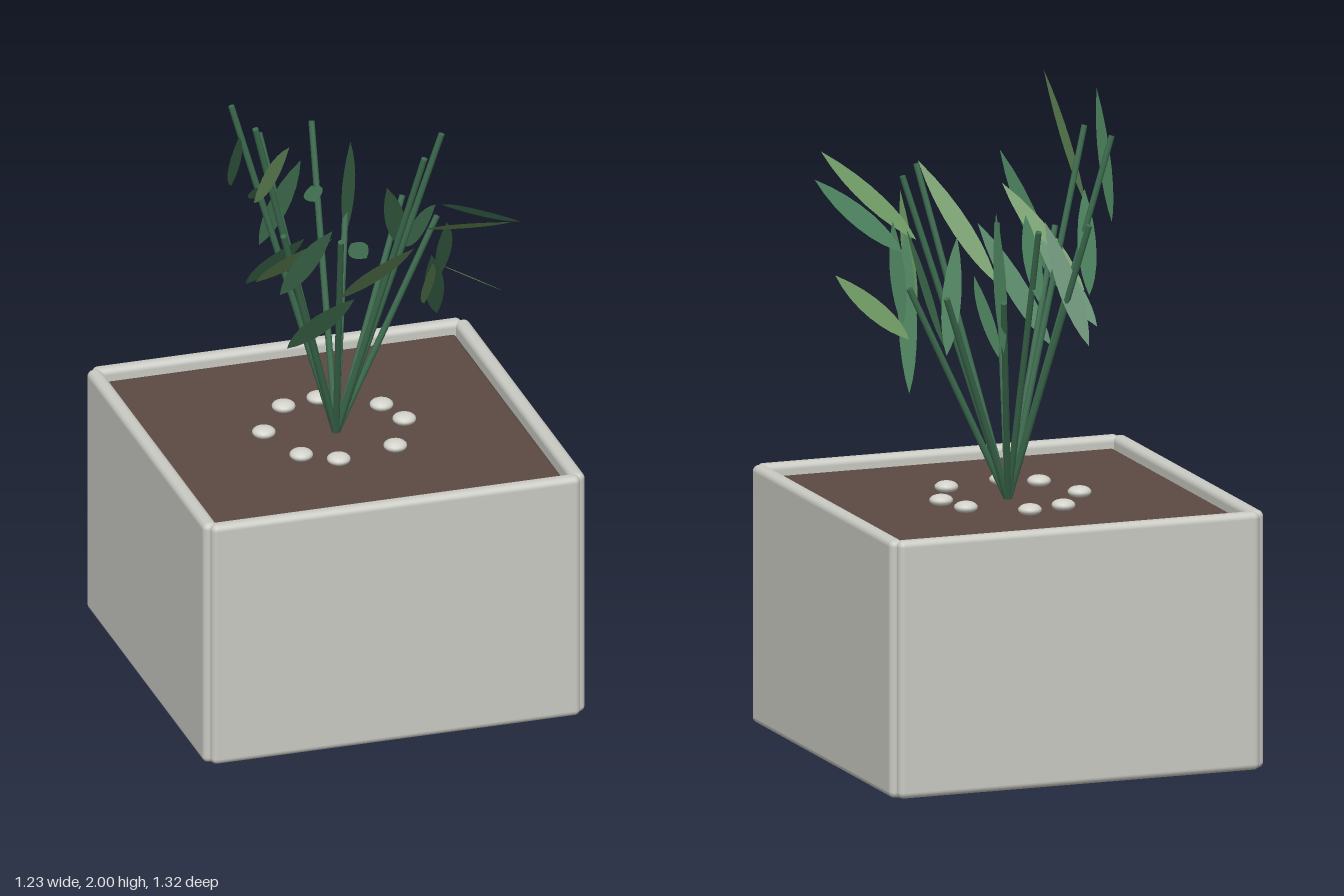
import * as THREE from 'three';
import { RoundedBoxGeometry } from 'three/addons/geometries/RoundedBoxGeometry.js';

const CZ = -0.045; // centre of the planter in z

export function createModel() {
  const model = new THREE.Group();
  model.name = 'pottedPlant';
  const mat = (name, color, side = THREE.FrontSide) => {
    const m = new THREE.MeshStandardMaterial({ color, side });
    m.name = name;
    return m;
  };
  const concrete = mat('concrete', 0xcacac4);
  const earth = mat('earth', 0x5c4a42);
  const pebbleMat = mat('pebble', 0xd2d2cb);
  const stemGreen = mat('stemGreen', 0x3c6b4e);
  const leafGreen = mat('leafGreen', 0x477a58, THREE.DoubleSide);
  const paleGreen = mat('paleLeafGreen', 0x668f5b, THREE.DoubleSide);

  const add = (name, geometry, material, x, y, z) => {
    const mesh = new THREE.Mesh(geometry, material);
    mesh.name = name;
    mesh.position.set(x, y, z);
    model.add(mesh);
    return mesh;
  };

  // Planter: four rounded slabs, open underneath
  const H = 0.81;
  for (const s of [-1, 1]) {
    add(s > 0 ? 'frontWall' : 'backWall',
      new RoundedBoxGeometry(1.19, H, 0.048, 3, 0.02), concrete, 0, H / 2, CZ + s * 0.592);
    add(s > 0 ? 'leftWall' : 'rightWall',
      new RoundedBoxGeometry(0.048, H, 1.19, 3, 0.02), concrete, s * 0.592, H / 2, CZ);
  }

  // Soil slab just below the rim
  add('soil', new RoundedBoxGeometry(1.13, 0.09, 1.13, 2, 0.012), earth, 0, 0.73, CZ);

  // Ring of flattened pebbles
  const pebbleGeo = new THREE.SphereGeometry(0.037, 16, 10).scale(1, 0.5, 1);
  [[-0.105, -0.245], [0.015, -0.27], [0.185, -0.165], [0.22, -0.045],
    [0.135, 0.13], [-0.06, 0.17], [-0.16, 0.105], [-0.22, -0.085],
  ].forEach(([x, z]) => add('pebble', pebbleGeo, pebbleMat, x, 0.788, z));

  // Straight stems fanning out from one root: tip x, y, z
  const up = new THREE.Vector3(0, 1, 0);
  const root = new THREE.Vector3(0, 0.77, CZ);
  [[-0.155, 1.68, -0.335], [0.025, 1.68, -0.37], [0.13, 1.46, -0.345], [0.27, 1.46, -0.22],
    [0.325, 1.46, -0.045], [0.305, 1.79, 0.065], [0.2, 1.79, 0.22], [-0.085, 1.57, 0.27],
    [-0.24, 1.57, 0.175], [-0.3, 1.9, 0.08], [-0.32, 1.9, -0.1],
  ].forEach((tip) => {
    const dir = new THREE.Vector3(...tip).sub(root);
    const stem = add('stem', new THREE.CylinderGeometry(0.01, 0.011, dir.length(), 8), stemGreen,
      ...root.clone().addScaledVector(dir, 0.5));
    stem.quaternion.setFromUnitVectors(up, dir.normalize());
  });

  // Pointed blade of unit length along +y, scaled to fit each leaf
  const blade = new THREE.Shape();
  blade.moveTo(0, 0);
  blade.bezierCurveTo(0.045, 0.2, 0.06, 0.6, 0, 1);
  blade.bezierCurveTo(-0.06, 0.6, -0.045, 0.2, 0, 0);
  const bladeGeo = new THREE.ShapeGeometry(blade, 8);

  const leaf = (base, tip, roll = 0, material = leafGreen) => {
    const from = new THREE.Vector3(...base);
    const along = new THREE.Vector3(...tip).sub(from);
    const length = along.length();
    along.normalize();
    const across = new THREE.Vector3().crossVectors(along, up).normalize().applyAxisAngle(along, roll);
    const normal = new THREE.Vector3().crossVectors(across, along);
    const mesh = add('leaf', bladeGeo, material, ...base);
    mesh.quaternion.setFromRotationMatrix(new THREE.Matrix4().makeBasis(across, along, normal));
    mesh.scale.set(0.8, length, 1);
  };

  // Leaves on the right-hand stems
  leaf([-0.32, 1.63, -0.1], [-0.41, 1.97, 0.26], 0.8);
  leaf([-0.305, 1.65, 0.08], [-0.305, 2.0, 0.44], Math.PI / 2, paleGreen);
  leaf([-0.155, 1.46, -0.335], [-0.3, 1.7, 0.08], 0.4);
  leaf([-0.3, 1.38, 0.08], [-0.16, 1.66, 0.42], -0.5, paleGreen);
  leaf([-0.28, 1.3, -0.08], [-0.17, 1.55, 0.17], -0.5);
  leaf([-0.25, 1.37, 0.17], [-0.195, 1.74, 0.53], -1.1);
  leaf([-0.23, 1.19, 0.18], [-0.13, 1.51, 0.55], -0.8);
  leaf([-0.155, 1.3, -0.335], [-0.08, 1.66, -0.15], -0.7);

  // Leaves in the middle
  leaf([-0.085, 1.38, 0.27], [0.03, 1.7, 0.645], -0.4, paleGreen);
  leaf([0.025, 1.46, -0.37], [-0.11, 1.63, 0.09], 0.4);
  leaf([0.13, 1.3, -0.345], [0.08, 1.7, -0.15], 0.8);
  leaf([0.13, 1.28, -0.3], [0.04, 1.44, 0.14], 0.6);

  // Leaves on the left-hand stems
  leaf([0.27, 1.28, -0.22], [0.15, 1.6, 0], 0.5);
  leaf([0.265, 1.3, -0.19], [0.255, 1.6, 0.16], Math.PI / 2);
  leaf([0.325, 1.13, -0.045], [0.165, 1.55, 0.4], 0.4);
  leaf([0.325, 1.3, -0.045], [0.385, 1.41, 0.43], -0.5, paleGreen);
  leaf([0.305, 1.55, 0.065], [0.41, 1.69, 0.54], -0.7);
  leaf([0.305, 1.32, 0.065], [0.25, 1.6, 0.29], 0.6);
  leaf([0.2, 1.55, 0.22], [0.345, 1.75, 0.655], -0.4, paleGreen);
  leaf([0.2, 1.3, 0.22], [0.105, 1.62, 0.6], 0.8, paleGreen);

  return model;
}
